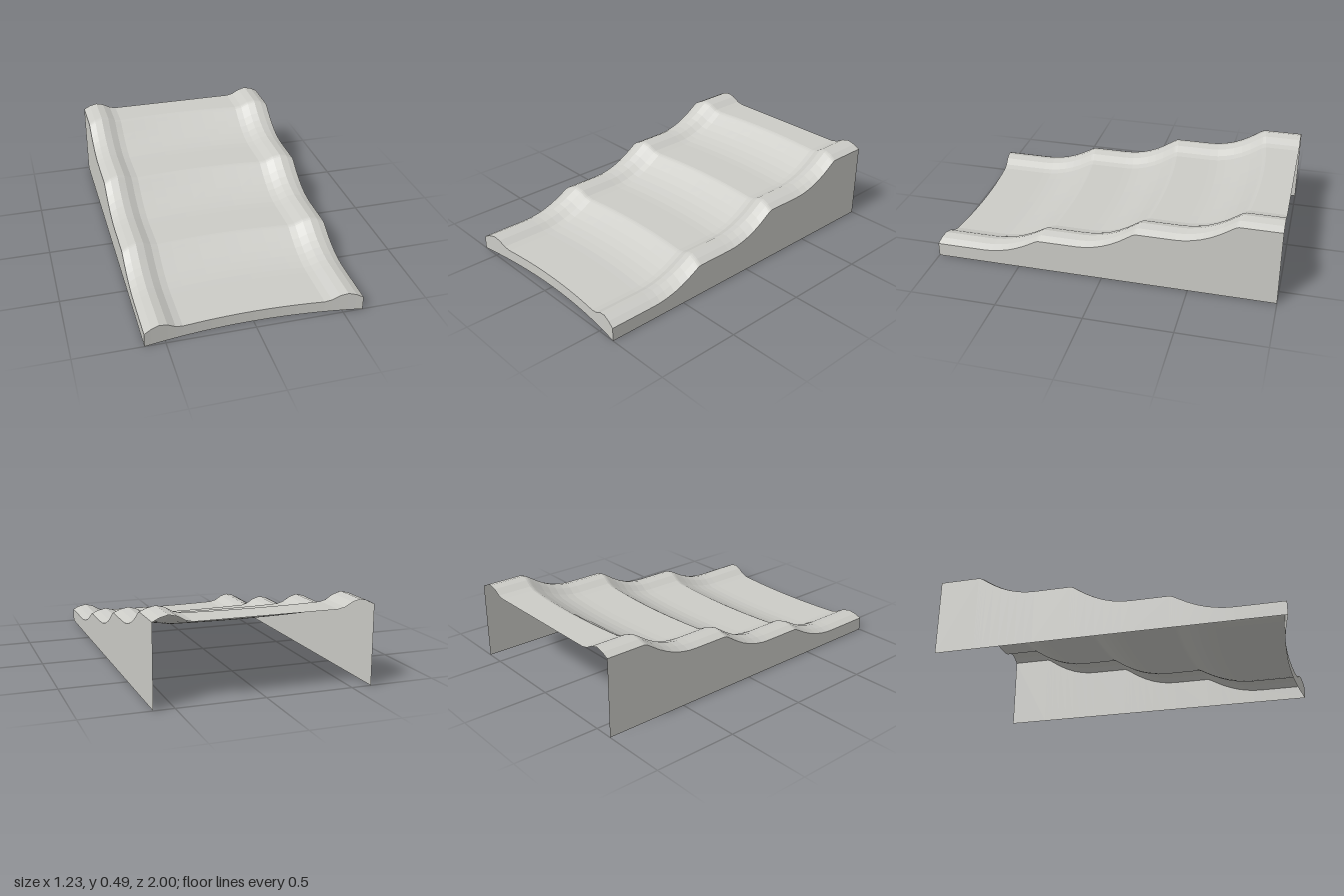
import * as THREE from 'three';

const HALF = 0.615;   // half width
const BOW = 0.055;    // how far the middle bows back
const BACK = -1;

// Raised rounded rims along both sides: [x, extra height]
const rim = [[0.4, 0], [0.44, 0.009], [0.485, 0.034], [0.53, 0.045], [0.575, 0.034], [HALF, 0.014]];
const across = [];
for (const [x, h] of [...rim].reverse()) across.push([-x, h]);
for (let i = 1; i < 10; i++) across.push([-0.4 + 0.08 * i, 0]);
across.push(...rim);

// Terraces: flat treads joined by hollow curves ending in a soft crest [z, y]
const along = [[1, 0.067]];
const curve = [[0, 0], [0.15, 0.02], [0.3, 0.09], [0.45, 0.2], [0.6, 0.36], [0.75, 0.57],
  [0.88, 0.79], [0.94, 0.895], [0.97, 0.945], [1, 0.98], [1.03, 1]];
[[0.38, 0.067, 0.177], [-0.19, 0.177, 0.309], [-0.755, 0.309, 0.441]].forEach(([crest, y0, y1]) => {
  for (const [t, f] of curve) along.push([crest + 0.34 * (1 - t), y0 + (y1 - y0) * f]);
});
along.push([BACK, 0.441]);

// Point on the top surface; the back edge stays straight
function topPoint(i, j) {
  const [x, h] = across[i], [z, y] = along[j];
  const shift = j === along.length - 1 ? 0 : BOW * (1 - (x / HALF) ** 2);
  return [x, y + h, z - shift];
}

// Faceted sheet through a grid of points
function sheet(name, nu, nv, point, material) {
  const pos = [];
  for (let i = 0; i < nu - 1; i++) {
    for (let j = 0; j < nv - 1; j++) {
      const a = point(i, j), b = point(i + 1, j), c = point(i + 1, j + 1), d = point(i, j + 1);
      pos.push(...a, ...b, ...c, ...a, ...c, ...d);
    }
  }
  const g = new THREE.BufferGeometry();
  g.setAttribute('position', new THREE.Float32BufferAttribute(pos, 3));
  g.computeVertexNormals();
  const mesh = new THREE.Mesh(g, material);
  mesh.name = name;
  return mesh;
}

export function createModel() {
  const group = new THREE.Group();
  group.name = 'terracedSlope';
  const stone = new THREE.MeshStandardMaterial({ color: 0xccccc7, side: THREE.DoubleSide });
  stone.name = 'pale grey';
  const nx = across.length, nz = along.length;

  // Wavy top skin
  group.add(sheet('terracedTop', nx, nz, topPoint, stone));

  // Curved front lip, down to the ground
  group.add(sheet('frontLip', nx, 2, (i, j) => {
    const [x, y, z] = topPoint(i, 0);
    return [x, j ? y : 0, z];
  }, stone));

  // Side walls; the back and underside stay open
  for (const [name, i] of [['rightWall', 0], ['leftWall', nx - 1]]) {
    group.add(sheet(name, nz, 2, (k, j) => {
      const n = i ? k : nz - 1 - k;
      const [x, y, z] = topPoint(i, n);
      return [x, j ? y : 0, z];
    }, stone));
  }
  return group;
}
